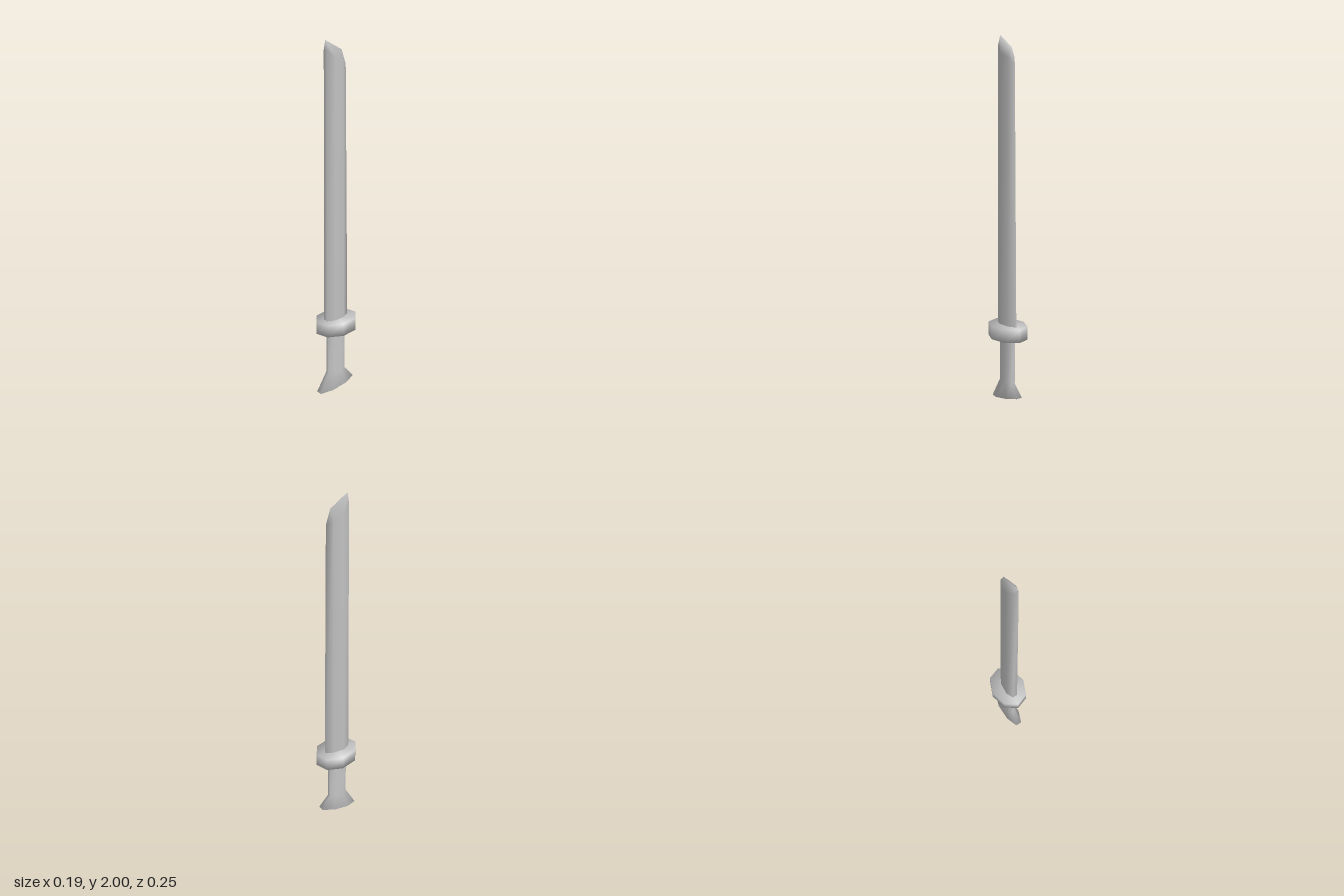
import * as THREE from 'three';

const steel = new THREE.MeshStandardMaterial({ color: 0xc0c0c0 });
steel.name = 'steel grey';

// Smooth-shaded skin from points and triangle indices
function skin(name, points, indices) {
  const geometry = new THREE.BufferGeometry();
  geometry.setAttribute('position', new THREE.Float32BufferAttribute(points.flat(), 3));
  geometry.setIndex(indices);
  geometry.computeVertexNormals();
  const mesh = new THREE.Mesh(geometry, steel);
  mesh.name = name;
  return mesh;
}

// Wall triangles between stacked rings of n points
function walls(ringCount, n) {
  const idx = [];
  for (let r = 0; r < ringCount - 1; r++) {
    for (let i = 0; i < n; i++) {
      const a = r * n + i, b = r * n + (i + 1) % n;
      idx.push(a, b, b + n, a, b + n, a + n);
    }
  }
  return idx;
}

// Closed solid through rings, capped at both ends around a centre point
function loft(name, rings) {
  const n = rings[0].length;
  const points = rings.flat();
  const idx = walls(rings.length, n);
  const centre = (ring) => [0, 1, 2].map((k) => ring.reduce((s, p) => s + p[k], 0) / n);
  const low = points.length, high = low + 1, last = (rings.length - 1) * n;
  points.push(centre(rings[0]), centre(rings[rings.length - 1]));
  for (let i = 0; i < n; i++) {
    const j = (i + 1) % n;
    idx.push(low, j, i, high, last + i, last + j);
  }
  return skin(name, points, idx);
}

// Eight-sided oval with flat front and back; tilt slopes it along z
function oval(y, rx, rz, cz, tilt = 0) {
  return Array.from({ length: 8 }, (_, i) => {
    const t = ((i + 0.5) / 8) * Math.PI * 2;
    const z = (rz * Math.cos(t)) / Math.cos(Math.PI / 8);
    return [(rx * Math.sin(t)) / Math.cos(Math.PI / 8), y - tilt * z, cz + z];
  });
}

// Blade: flat spine at the front, cutting edge at the back, slanted ridged tip
function makeBlade() {
  const outline = [
    [0.015, 0.073], [0.033, 0.03], [0.025, -0.035], [0, -0.078],
    [-0.025, -0.035], [-0.033, 0.03], [-0.015, 0.073],
  ];
  const shoulder = [1.95, 1.91, 1.89, 1.86, 1.89, 1.91, 1.95];
  const base = outline.map(([x, z]) => [x, 0.4, z]);
  const top = outline.map(([x, z], i) => [x * 0.87, shoulder[i], z > 0.05 ? 0.067 : z * 0.78]);
  const points = [...base, ...top, [0, 1.94, -0.035], [0, 2, 0.067]];
  const ridge = 14, tip = 15;
  const idx = walls(2, 7);
  idx.push(
    7, 8, tip, 8, ridge, tip, 8, 9, ridge, 9, 10, ridge,
    10, 11, ridge, 11, 12, ridge, ridge, 12, tip, 12, 13, tip, 13, 7, tip,
  );
  for (let i = 1; i < 6; i++) idx.push(0, i + 1, i);
  return skin('blade', points, idx);
}

export function createModel() {
  const model = new THREE.Group();
  model.name = 'sword';
  model.add(makeBlade());

  // Guard: slightly twisted eight-sided plate
  const half = [[0.096, 0.018], [0.077, -0.077], [0.013, -0.125], [-0.059, -0.101]];
  const plate = [...half, ...half.map(([x, z]) => [-x, -z])];
  const guardRing = (y) => plate.map(([x, z]) => [x, y, z]);
  model.add(loft('guard', [guardRing(0.375), guardRing(0.447)]));

  // Handle flaring into a slanted pommel
  model.add(loft('handle', [
    oval(0.027, 0.043, 0.113, 0.007, 0.2),
    oval(0.118, 0.025, 0.055, 0.005),
    oval(0.4, 0.025, 0.055, 0.005),
  ]));
  return model;
}
